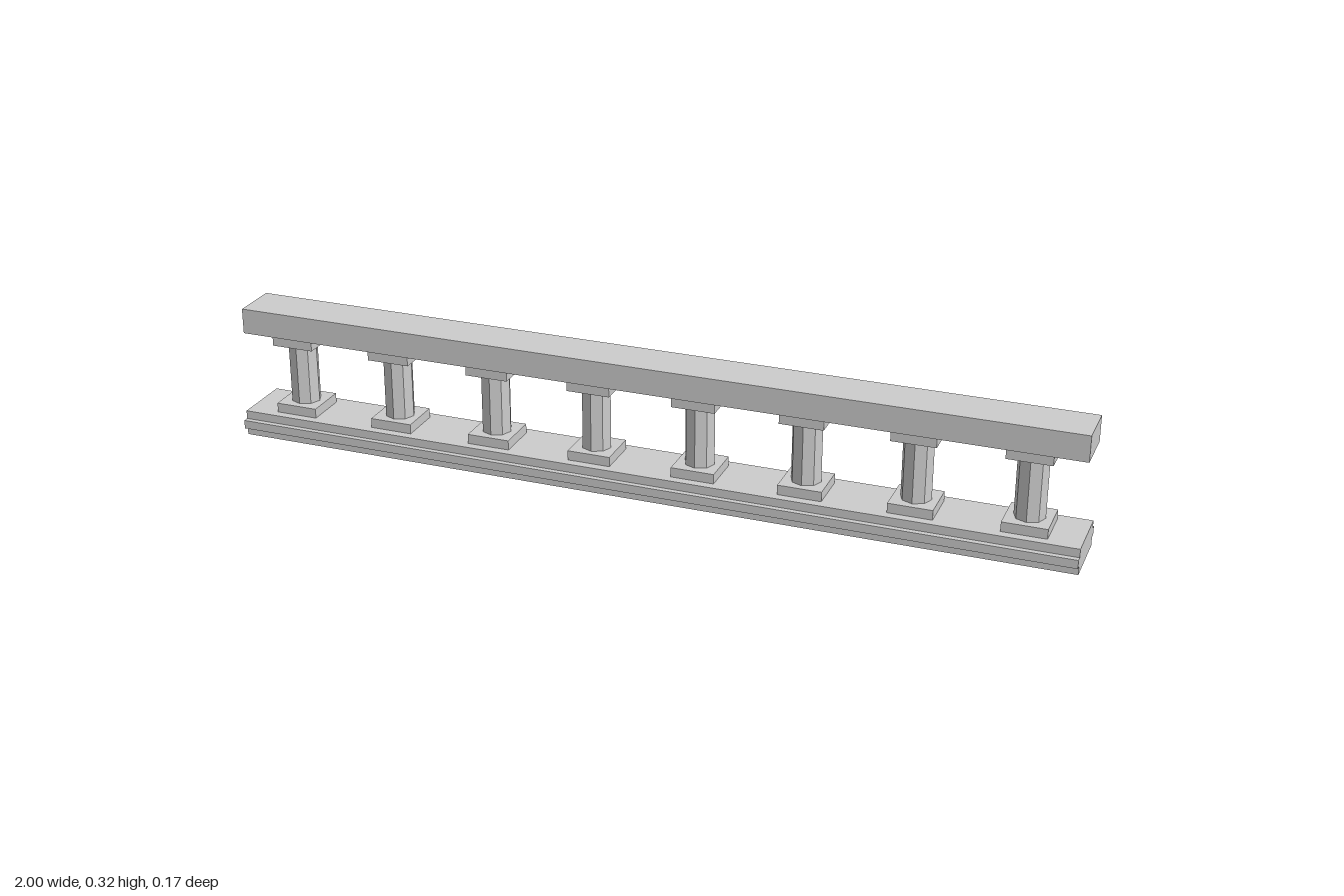
import * as THREE from 'three';

const LENGTH = 2;
const COUNT = 8;

export function createModel() {
  const model = new THREE.Group();
  model.name = 'balustrade';
  const material = new THREE.MeshStandardMaterial({ color: 0xcccccc, flatShading: true });

  function add(parent, name, geometry, y) {
    const mesh = new THREE.Mesh(geometry, material);
    mesh.name = name;
    mesh.position.y = y;
    parent.add(mesh);
    return mesh;
  }

  // Base beam: a stepped profile with a ledge along both long sides
  const half = [[0.072, 0], [0.072, 0.0205], [0.085, 0.0205], [0.085, 0.041], [0.072, 0.041], [0.072, 0.061]];
  const mirrored = half.map(([z, y]) => [-z, y]).reverse();
  const profile = new THREE.Shape([...half, ...mirrored].map(([z, y]) => new THREE.Vector2(z, y)));
  const baseGeometry = new THREE.ExtrudeGeometry(profile, { depth: LENGTH, bevelEnabled: false });
  baseGeometry.translate(0, 0, -LENGTH / 2).rotateY(Math.PI / 2);
  add(model, 'baseBeam', baseGeometry, 0);

  // Hand rail
  add(model, 'topRail', new THREE.BoxGeometry(LENGTH, 0.061, 0.113), 0.2855);

  // Octagonal balusters, each between two square blocks
  const blockGeometry = new THREE.BoxGeometry(0.102, 0.023, 0.102);
  const shaftGeometry = new THREE.CylinderGeometry(0.035, 0.035, 0.148, 8);
  const spacing = LENGTH / COUNT;
  for (let i = 0; i < COUNT; i++) {
    const baluster = new THREE.Group();
    baluster.name = `baluster${i + 1}`;
    baluster.position.x = (i - (COUNT - 1) / 2) * spacing;
    add(baluster, 'plinth', blockGeometry, 0.0725);
    add(baluster, 'shaft', shaftGeometry, 0.158);
    add(baluster, 'capital', blockGeometry, 0.2435);
    model.add(baluster);
  }

  return model;
}
